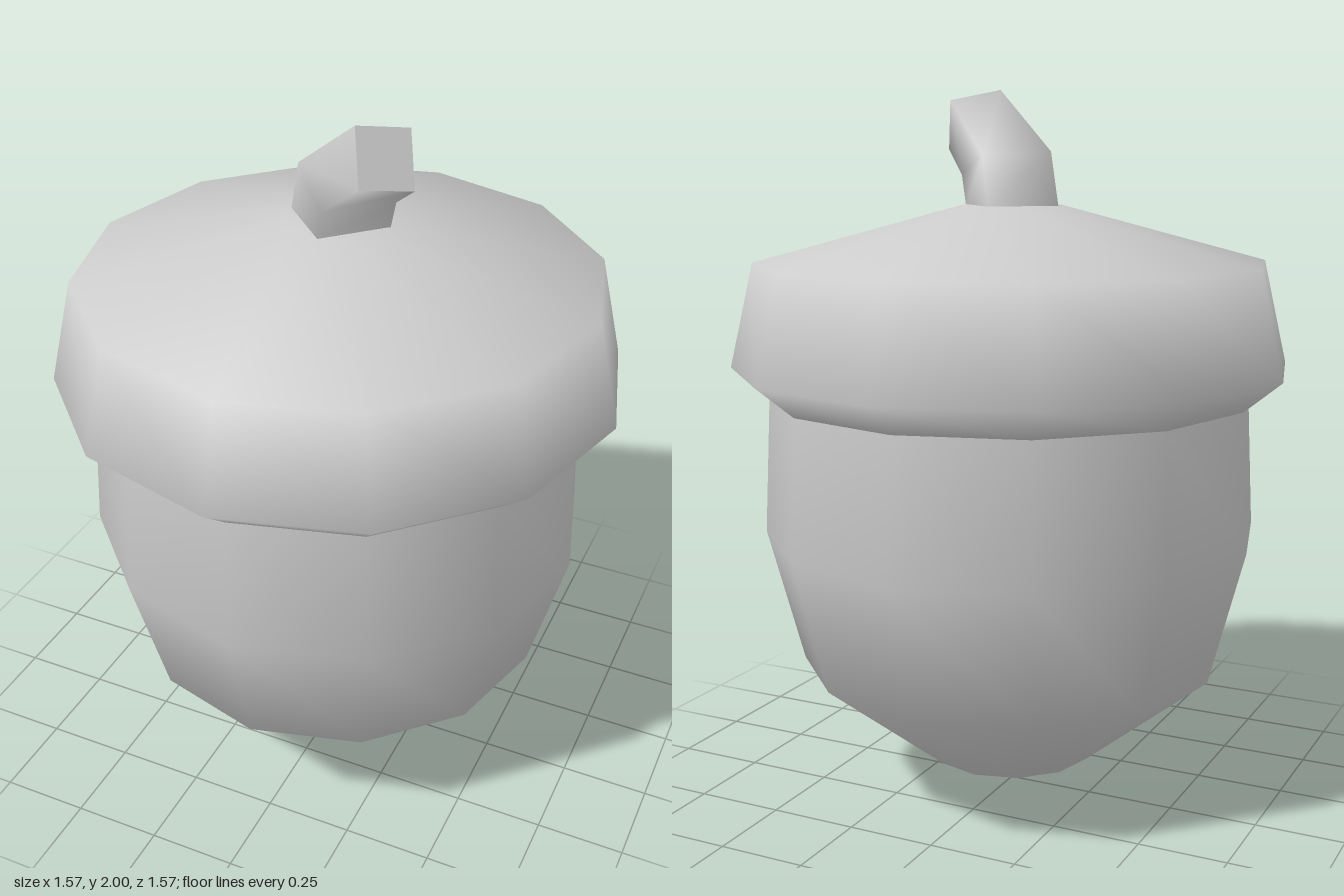
import * as THREE from 'three';

const material = new THREE.MeshStandardMaterial({ color: 0xcccccc });

function addMesh(group, name, geometry) {
  const mesh = new THREE.Mesh(geometry, material);
  mesh.name = name;
  group.add(mesh);
}

// Smooth twelve-sided turned shape; profile points run bottom to top as [radius, y]
const turned = (profile) =>
  new THREE.LatheGeometry(profile.map(([r, y]) => new THREE.Vector2(r, y)), 12);

// Smooth sides through rings of four corners, plus a flat end face
function stemGeometry(rings) {
  const n = 4;
  const positions = rings.flat(2);
  const index = [];
  for (let r = 0; r < rings.length - 1; r++) {
    for (let i = 0; i < n; i++) {
      const a = r * n + i;
      const b = r * n + ((i + 1) % n);
      index.push(a, b, b + n, a, b + n, a + n);
    }
  }
  const end = rings.length * n;
  positions.push(...rings[rings.length - 1].flat());
  index.push(end, end + 1, end + 2, end, end + 2, end + 3);

  const geometry = new THREE.BufferGeometry();
  geometry.setAttribute('position', new THREE.Float32BufferAttribute(positions, 3));
  geometry.setIndex(index);
  geometry.computeVertexNormals();
  return geometry;
}

export function createModel() {
  const acorn = new THREE.Group();
  acorn.name = 'acorn';

  // Nut, tapering to a blunt point at the ground
  addMesh(acorn, 'nut', turned([
    [0, 0], [0.24, 0.1], [0.6, 0.39], [0.7, 0.77], [0.68, 1.155],
  ]));

  // Cap with an overhanging lip and a shallow conical top
  addMesh(acorn, 'cap', turned([
    [0.68, 1.155], [0.784, 1.24], [0.716, 1.53], [0.14, 1.685], [0, 1.685],
  ]));

  // Square stem, bending towards the front left; corners: right, front, left, back
  addMesh(acorn, 'stem', stemGeometry([
    [[-0.142, 1.68, 0], [0, 1.68, 0.142], [0.142, 1.68, 0], [0, 1.68, -0.142]],
    [[-0.105, 1.83, 0.03], [0.02, 1.77, 0.16], [0.165, 1.765, 0.02], [0.03, 1.82, -0.12]],
    [[0.1, 2, 0.135], [0.14, 1.865, 0.2], [0.24, 1.835, 0.085], [0.2, 1.97, 0.02]],
  ]));

  return acorn;
}
